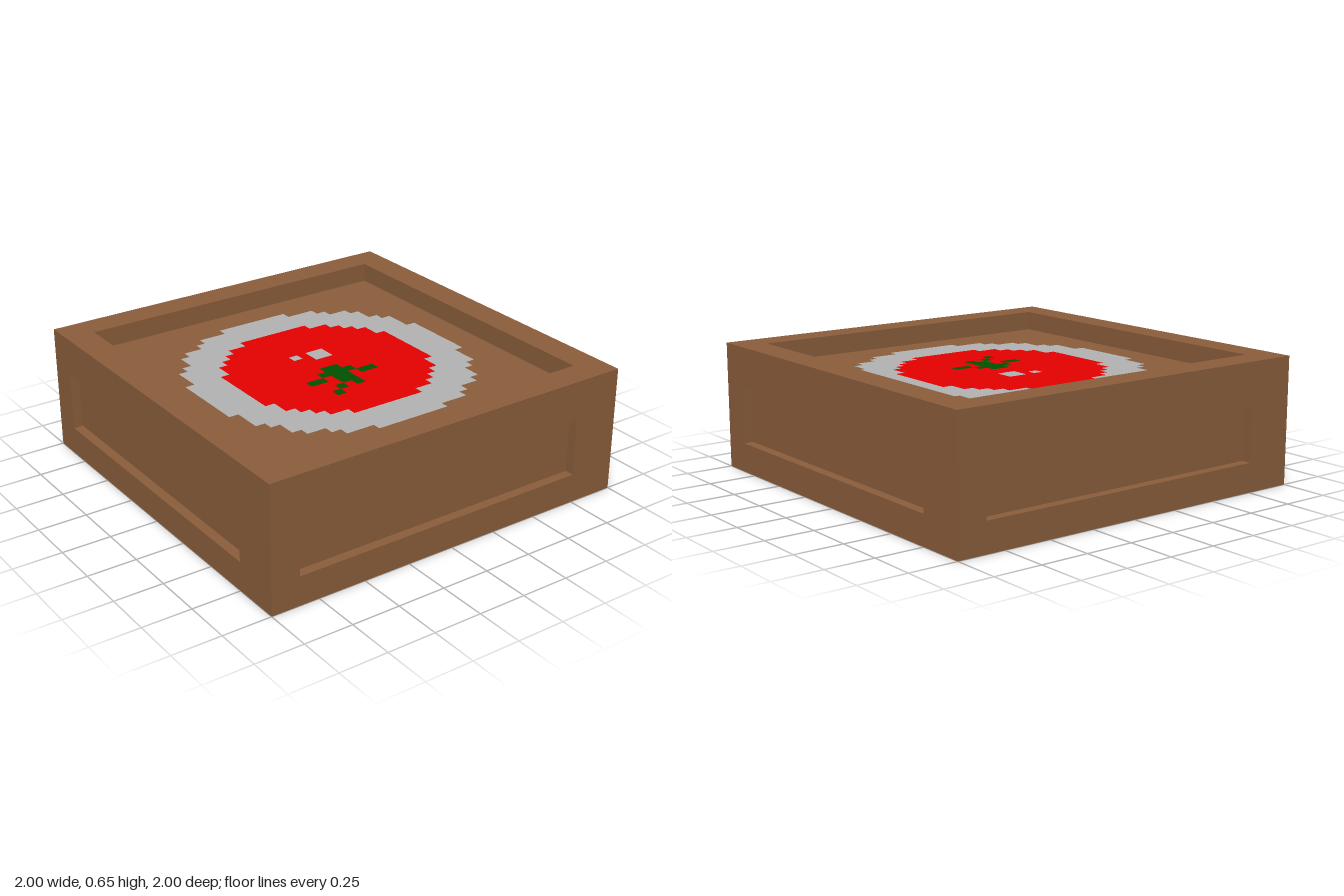
import * as THREE from 'three';

const mat = (name, color) => {
  const m = new THREE.MeshStandardMaterial({ color });
  m.name = name;
  return m;
};

// Rectangle outline from corner to corner, usable as shape or hole
const rect = (Type, x0, y0, x1, y1) => new Type([
  [x0, y0], [x1, y0], [x1, y1], [x0, y1],
].map(([x, y]) => new THREE.Vector2(x, y)));

const extrude = (shape, depth) => new THREE.ExtrudeGeometry(shape, { depth, bevelEnabled: false });

// Stepped disc outline from (half width, reach) pairs of one quadrant
function steppedDisc(steps) {
  const quad = [];
  let y = 0;
  for (const [x, reach] of steps) {
    quad.push([x, y], [x, reach]);
    y = reach;
  }
  const q = quad.slice(1);
  const flip = [...q].reverse();
  const pts = [
    ...q,
    ...flip.map(([x, v]) => [-x, v]),
    ...q.map(([x, v]) => [-x, -v]),
    ...flip.map(([x, v]) => [x, -v]),
  ];
  return new THREE.Shape(pts.map(([x, v]) => new THREE.Vector2(x, v)));
}

export function createModel() {
  const model = new THREE.Group();
  model.name = 'squareTray';
  const wood = mat('brown wood', 0x8b5e3b);
  const grey = mat('grey plate', 0xb4b4b4);
  const red = mat('red sauce', 0xe60000);
  const green = mat('green herb', 0x005200);
  const add = (name, geo, material, parent = model) => {
    const mesh = new THREE.Mesh(geo, material);
    mesh.name = name;
    parent.add(mesh);
    return mesh;
  };
  const FLOOR = 0.55;

  // Solid core; its top is the sunken floor
  add('core', new THREE.BoxGeometry(1.9, FLOOR, 1.9).translate(0, FLOOR / 2, 0), wood);

  // Raised rim around the floor
  const rim = rect(THREE.Shape, -0.95, -0.95, 0.95, 0.95);
  rim.holes.push(rect(THREE.Path, -0.85, -0.85, 0.85, 0.85));
  add('rim', extrude(rim, 0.1).rotateX(-Math.PI / 2).translate(0, FLOOR, 0), wood);

  // Four side panels with an off-centre recess, meeting pinwheel fashion
  const panel = rect(THREE.Shape, -1, 0, 0.95, 0.65);
  panel.holes.push(rect(THREE.Path, -0.85, 0.15, 0.75, 0.45));
  const panelGeo = extrude(panel, 0.05).translate(0, 0, 0.95);
  ['frontPanel', 'leftPanel', 'backPanel', 'rightPanel'].forEach((name, i) => {
    add(name, panelGeo, wood).rotation.y = i * Math.PI / 2;
  });

  // Plate and its filling, flat faces just above the floor
  const disc = (name, steps, h, material) =>
    add(name, new THREE.ShapeGeometry(steppedDisc(steps)).rotateX(-Math.PI / 2)
      .translate(0, FLOOR + h, 0), material);
  disc('plate', [[0.7, 0.2], [0.65, 0.35], [0.6, 0.4], [0.55, 0.5], [0.5, 0.55],
    [0.4, 0.6], [0.35, 0.65], [0.2, 0.7]], 0.001, grey);
  disc('filling', [[0.5, 0.2], [0.45, 0.3], [0.4, 0.35], [0.35, 0.4], [0.3, 0.45],
    [0.2, 0.5]], 0.002, red);

  // Square flecks on the filling: x0, z0, x1, z1
  const flecks = (name, list, material) => {
    const group = new THREE.Group();
    group.name = name;
    for (const [x0, z0, x1, z1] of list) {
      add('fleck', new THREE.PlaneGeometry(x1 - x0, z1 - z0).rotateX(-Math.PI / 2)
        .translate((x0 + x1) / 2, FLOOR + 0.003, (z0 + z1) / 2), material, group);
    }
    model.add(group);
  };
  flecks('herbs', [
    [0, -0.05, 0.2, 0.05], [0.05, -0.1, 0.1, -0.05], [0.05, 0.05, 0.1, 0.1],
    [0.1, -0.2, 0.15, -0.1], [0.1, 0.1, 0.15, 0.2], [0.2, -0.05, 0.25, 0],
    [0.2, 0.05, 0.25, 0.1], [0.25, 0.1, 0.3, 0.15],
  ], green);
  flecks('crumbs', [[-0.2, -0.1, -0.1, 0], [-0.2, 0.05, -0.15, 0.1]], grey);

  return model;
}
